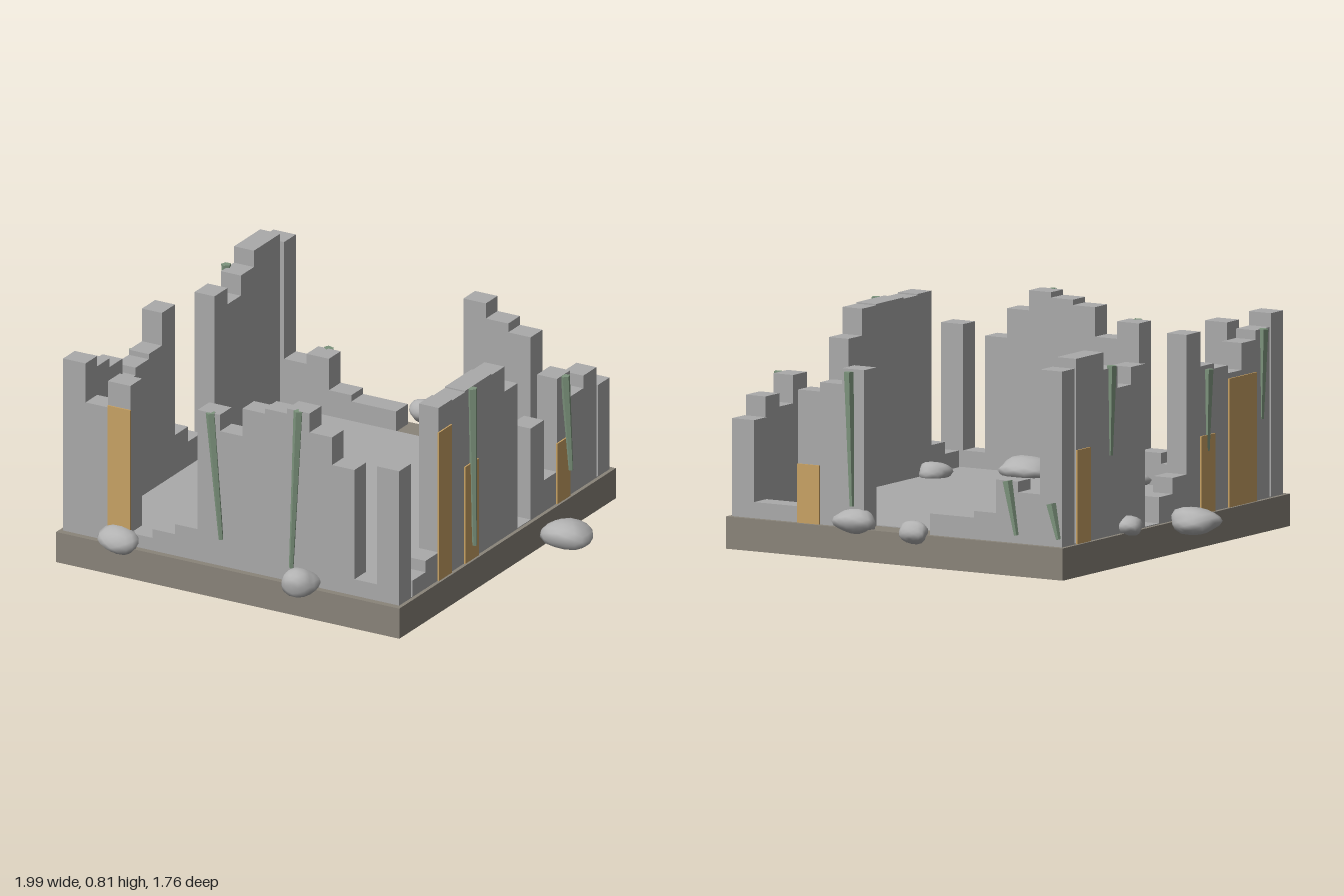
import * as THREE from 'three';
import { mergeVertices } from 'three/addons/utils/BufferGeometryUtils.js';

const mat = (name, color, flatShading = false) => {
  const m = new THREE.MeshStandardMaterial({ color, flatShading });
  m.name = name;
  return m;
};

export function createModel() {
  const group = new THREE.Group();
  const stone = mat('wall stone', 0xaaaaaa);
  const earth = mat('foundation stone', 0x8a847a);
  const ochre = mat('ochre panel', 0xc8a264);
  const moss = mat('vine green', 0x7d947d, true);
  const rubble = mat('rubble grey', 0xb2b2b2);

  const FLOOR = 0.12, THICK = 0.085;
  const X0 = -0.755, X1 = 0.68, Z0 = -0.755, Z1 = 0.775;
  const STEP = (X1 - X0) / 15, STEPZ = (Z1 - Z0) / 16;

  // box from minimum and maximum corners
  const box = (name, material, x0, x1, y0, y1, z0, z1, parent = group) => {
    const m = new THREE.Mesh(new THREE.BoxGeometry(x1 - x0, y1 - y0, z1 - z0), material);
    m.position.set((x0 + x1) / 2, (y0 + y1) / 2, (z0 + z1) / 2);
    m.name = name;
    parent.add(m);
  };

  // foundation and paved floor
  box('foundation', earth, -0.77, 0.695, 0, FLOOR, -0.775, 0.8);
  box('floor', stone, X0, X1, FLOOR - 0.01, FLOOR + 0.003, Z0 + THICK, Z1 - THICK);

  // ruined walls: a row of columns with broken tops, 0 is a gap
  const wall = (name, alongX, side, heights) => {
    const g = new THREE.Group();
    g.name = name;
    heights.forEach((h, i) => {
      if (!h) return;
      if (alongX) {
        const z = side > 0 ? Z1 - THICK : Z0;
        box('wallColumn', stone, X0 + i * STEP, X0 + (i + 1) * STEP, FLOOR, h, z, z + THICK, g);
      } else {
        const x = side > 0 ? X1 - THICK : X0;
        const z = Z1 - i * STEPZ;
        box('wallColumn', stone, x, x + THICK, FLOOR, h, z - STEPZ, z, g);
      }
    });
    group.add(g);
  };
  wall('frontWall', true, 1,
    [0.805, 0.65, 0.755, 0.17, 0.205, 0.245, 0.72, 0.655, 0.765, 0.785, 0.805, 0.73, 0.62, 0.185, 0.655]);
  wall('backWall', true, -1,
    [0.775, 0.31, 0.35, 0.225, 0.2, 0.2, 0, 0, 0, 0.71, 0.65, 0.615, 0.18, 0.18, 0.485]);
  // side walls run from front to back, between the corner columns
  wall('leftWall', false, 1,
    [0, 0.185, 0.23, 0.805, 0.8, 0.805, 0.805, 0.8, 0.7, 0, 0.485, 0.245, 0.615, 0.51, 0.56, 0]);
  wall('rightWall', false, -1,
    [0, 0.755, 0.72, 0.62, 0.65, 0.67, 0.8, 0.28, 0.22, 0, 0.73, 0.665, 0.745, 0.81, 0.81, 0]);

  // thin ochre panels on the outer wall faces
  const T = 0.006;
  box('frontPanel', ochre, -0.562, -0.465, FLOOR, 0.66, Z1, Z1 + T);
  box('backPanel', ochre, 0.298, 0.393, FLOOR, 0.34, Z0 - T, Z0);
  [[0.4, 0.495, 0.71], [0.205, 0.305, 0.505], [-0.46, -0.365, 0.36]].forEach(([a, b, h]) =>
    box('leftPanel', ochre, X1, X1 + T, FLOOR, h, a, b));
  [[0.393, 0.584, 0.6], [0.201, 0.297, 0.41], [-0.659, -0.564, 0.47]].forEach(([a, b, h]) =>
    box('rightPanel', ochre, X0 - T, X0, FLOOR, h, a, b));

  // hanging vines, tapering downwards
  const vine = (top, bottom) => {
    const a = new THREE.Vector3(...top), b = new THREE.Vector3(...bottom);
    const m = new THREE.Mesh(new THREE.CylinderGeometry(0.019, 0.009, a.distanceTo(b), 5), moss);
    m.position.copy(a).add(b).multiplyScalar(0.5);
    m.quaternion.setFromUnitVectors(new THREE.Vector3(0, 1, 0), a.sub(b).normalize());
    m.name = 'vine';
    group.add(m);
  };
  [
    [[-0.125, 0.72, 0.775], [-0.075, 0.23, 0.785]],
    [[0.25, 0.805, 0.775], [0.225, 0.18, 0.785]],
    [[0.69, 0.805, 0.26], [0.697, 0.18, 0.255]],
    [[0.69, 0.615, -0.415], [0.715, 0.245, -0.415]],
    [[-0.76, 0.755, -0.42], [-0.755, 0.42, -0.42]],
    [[-0.76, 0.655, 0.25], [-0.755, 0.35, 0.25]],
    [[-0.76, 0.755, 0.63], [-0.752, 0.42, 0.63]],
    [[-0.52, 0.35, -0.76], [-0.56, 0.15, -0.762]],
    [[-0.71, 0.28, -0.76], [-0.745, 0.15, -0.765]],
    [[0.17, 0.7, -0.76], [0.155, 0.2, -0.762]],
  ].forEach(([a, b]) => vine(a, b));

  // flattened rubble boulders, each dented by a few seeded waves
  const boulder = ([x, z, rx, rz, ry], i) => {
    let geo = new THREE.IcosahedronGeometry(1, 2);
    geo.deleteAttribute('uv');
    geo.deleteAttribute('normal');
    geo = mergeVertices(geo, 1e-3);
    const p = geo.attributes.position, v = new THREE.Vector3();
    for (let k = 0; k < p.count; k++) {
      v.fromBufferAttribute(p, k);
      const r = 0.95 + 0.08 * Math.sin(3.1 * v.x + 1.7 * i) * Math.cos(2.7 * v.z + i)
        + 0.06 * Math.sin(4.3 * v.y + 3.3 * v.z + 2.3 * i);
      p.setXYZ(k, v.x * r * rx, v.y * r * ry, v.z * r * rz);
    }
    geo.computeVertexNormals();
    const m = new THREE.Mesh(geo, rubble);
    m.position.set(x, 0.142, z);
    m.name = 'boulder';
    group.add(m);
  };
  [
    [-0.9, -0.06, 0.104, 0.085, 0.054], [0.89, -0.09, 0.109, 0.09, 0.054],
    [-0.575, -0.53, 0.105, 0.087, 0.05], [0.3, -0.58, 0.12, 0.09, 0.05],
    [0.15, -0.75, 0.09, 0.072, 0.052], [-0.17, -0.85, 0.06, 0.043, 0.045],
    [0.55, -0.365, 0.065, 0.06, 0.04], [-0.765, -0.31, 0.052, 0.055, 0.04],
    [0.55, 0.44, 0.065, 0.06, 0.04], [-0.13, 0.675, 0.108, 0.085, 0.045],
    [0.285, 0.66, 0.12, 0.1, 0.05], [-0.505, 0.795, 0.087, 0.065, 0.056],
    [0.275, 0.81, 0.08, 0.07, 0.055],
  ].forEach(boulder);

  return group;
}
